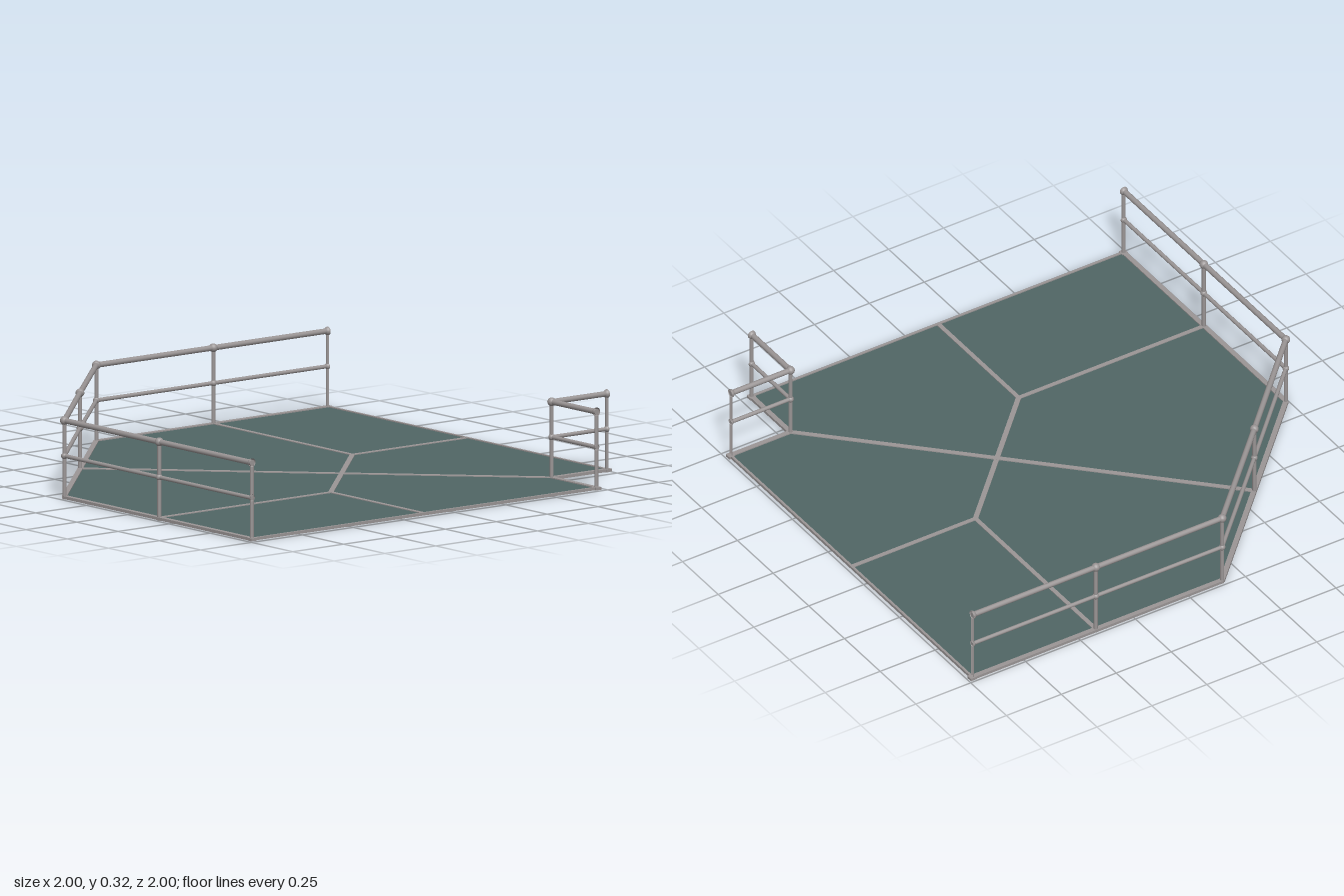
import * as THREE from 'three';

const steel = new THREE.MeshStandardMaterial({ color: 0x9a9595, side: THREE.DoubleSide });
const plate = new THREE.MeshStandardMaterial({ color: 0x506665 });
const UP = new THREE.Vector3(0, 1, 0);

// Plan points are [x, z]; the deck mirrors across its x = z diagonal.
const swap = ([x, z]) => [z, x];
const E = 0.983, C = -0.155, N = 0.71, M = 0.42, K = -0.14, D = -0.57;
const RAIL_Y = 0.305, MID_Y = 0.168, FLOOR_Y = 0.01;

function add(group, name, geometry, material) {
  const mesh = new THREE.Mesh(geometry, material);
  mesh.name = name;
  group.add(mesh);
  return mesh;
}

// Round bar between two plan points at height y
function pipe(group, name, a, b, y, radius) {
  const p = new THREE.Vector3(a[0], y, a[1]), q = new THREE.Vector3(b[0], y, b[1]);
  const mesh = add(group, name, new THREE.CylinderGeometry(radius, radius, p.distanceTo(q), 12), steel);
  mesh.position.copy(p).add(q).multiplyScalar(0.5);
  mesh.quaternion.setFromUnitVectors(UP, q.sub(p).normalize());
}

// Flat bar between two plan points, from y0 to y1
function bar(group, name, a, b, width, y0, y1) {
  const dx = b[0] - a[0], dz = b[1] - a[1];
  const mesh = add(group, name, new THREE.BoxGeometry(Math.hypot(dx, dz), y1 - y0, width), steel);
  mesh.position.set((a[0] + b[0]) / 2, (y0 + y1) / 2, (a[1] + b[1]) / 2);
  mesh.rotation.y = Math.atan2(-dz, dx);
}

// Post with ball joints; an end post is a half section turned toward its neighbour
function post(group, at, inward) {
  const g = new THREE.Group();
  g.name = inward ? 'endPost' : 'post';
  g.position.set(at[0], 0, at[1]);
  if (inward) g.rotation.y = Math.atan2(at[1] - inward[1], inward[0] - at[0]);
  const arc = inward ? Math.PI : Math.PI * 2;
  add(g, 'upright', new THREE.CylinderGeometry(0.008, 0.008, RAIL_Y, 12, 1, false, 0, arc), steel)
    .position.y = RAIL_Y / 2;
  for (const [y, r] of [[RAIL_Y, 0.017], [MID_Y, 0.013]]) {
    add(g, 'ballJoint', new THREE.SphereGeometry(r, 16, 10, Math.PI / 2, arc), steel).position.y = y;
  }
  group.add(g);
}

// Complete railing run through a list of plan points
function railing(name, points) {
  const g = new THREE.Group();
  g.name = name;
  const last = points.length - 1;
  points.forEach((p, i) => {
    post(g, p, i === 0 ? points[1] : i === last ? points[last - 1] : null);
    if (i === last) return;
    pipe(g, 'topRail', p, points[i + 1], RAIL_Y, 0.011);
    pipe(g, 'midRail', p, points[i + 1], MID_Y, 0.008);
  });
  return g;
}

export function createModel() {
  const model = new THREE.Group();
  model.name = 'railedDeck';

  // Floor plate
  const outline = [[-E, E], [-E, C], [C, -E], [E, -E], [E, N], [N, N], [N, E]];
  const shape = new THREE.Shape(outline.map(([x, z]) => new THREE.Vector2(x, -z)));
  const floor = new THREE.ExtrudeGeometry(shape, { depth: 0.006, bevelEnabled: false });
  floor.rotateX(-Math.PI / 2).translate(0, FLOOR_Y - 0.006, 0);
  add(model, 'floorPlate', floor, plate);

  // Edge frame: full width below railings, narrow along the open sides
  const frame = new THREE.Group();
  frame.name = 'frame';
  outline.forEach((a, i) => {
    const b = outline[(i + 1) % outline.length];
    const open = i === 3 || i === 6;
    bar(frame, open ? 'openEdge' : 'edgeBeam', a, b, open ? 0.01 : 0.02, 0.003, 0.014);
  });

  // Seams between the floor panels
  const A = [M, K], B = swap(A);
  bar(frame, 'diagonalBeam', [D, D], [N, N], 0.02, 0, 0.0135);
  bar(frame, 'crossBeam', A, B, 0.02, 0.002, 0.013);
  for (const end of [[M, -E], [E, K]]) {
    bar(frame, 'seamBeam', A, end, 0.018, 0.003, 0.013);
    bar(frame, 'seamBeam', B, swap(end), 0.018, 0.003, 0.013);
  }

  // Slim ribs under the floor, out to the corners
  for (const corner of [[E, -E], [C, -E], [E, N]]) {
    bar(frame, 'underRib', A, corner, 0.006, 0.002, 0.006);
    bar(frame, 'underRib', B, swap(corner), 0.006, 0.002, 0.006);
  }
  // Small feet where the railings end
  for (const [x, z] of [[E, -E], [E, N], [N, E], [-E, E]]) {
    const foot = add(frame, 'foot', new THREE.BoxGeometry(0.026, 0.011, 0.026), steel);
    foot.position.set(x, 0.0085, z);
  }
  model.add(frame);

  // Railings: long outer run and the notched corner
  model.add(railing('outerRailing',
    [[-E, E], [-E, M], [-E, C], [D, D], [C, -E], [M, -E], [E, -E]]));
  model.add(railing('notchRailing', [[E, N], [N, N], [N, E]]));
  return model;
}
